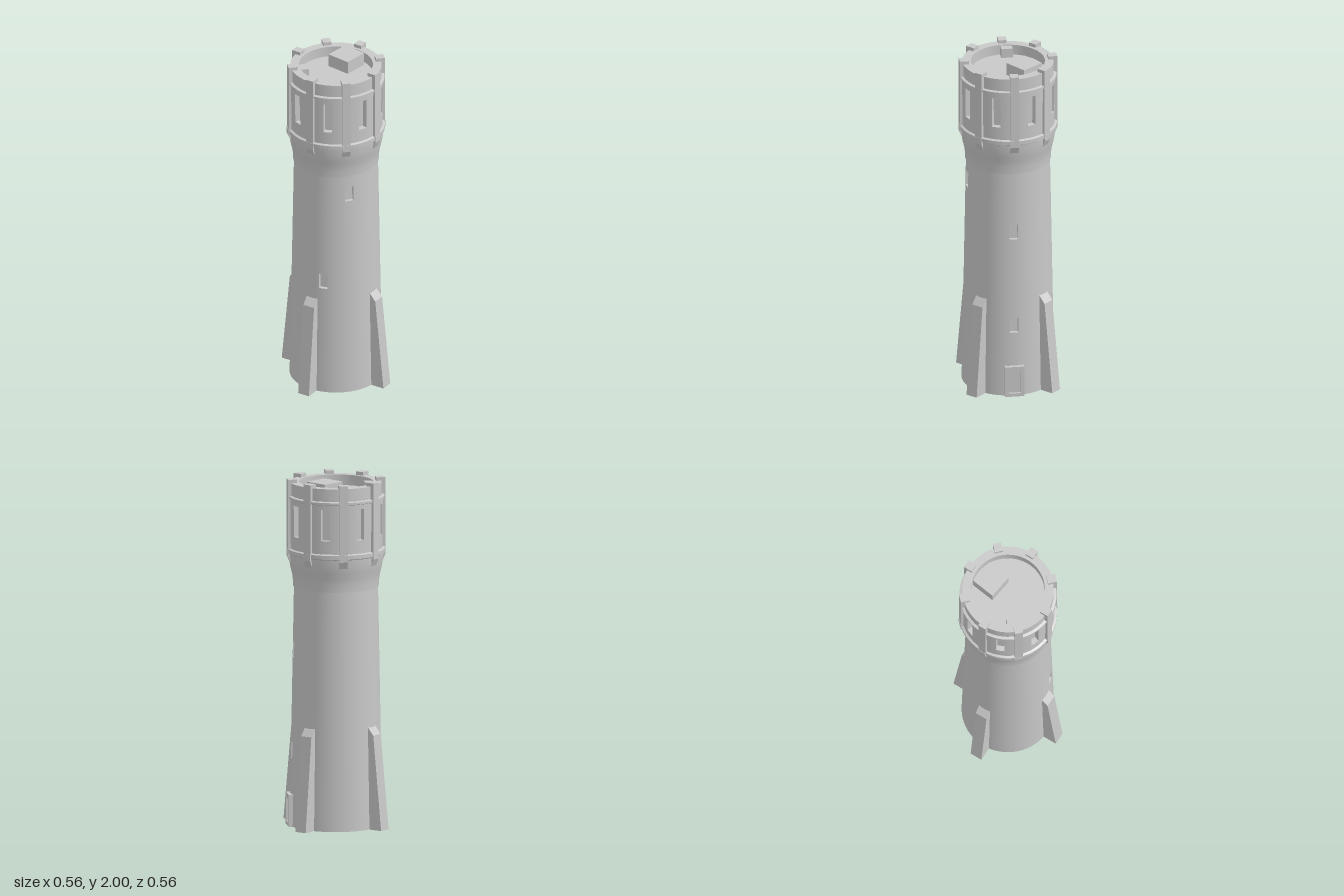
import * as THREE from 'three';
import { mergeGeometries, toCreasedNormals } from 'three/addons/utils/BufferGeometryUtils.js';

const stone = new THREE.MeshStandardMaterial({ color: 0xc8c8c8 });
stone.name = 'stone';

function add(parent, name, geometry) {
  const mesh = new THREE.Mesh(geometry, stone);
  mesh.name = name;
  parent.add(mesh);
  return mesh;
}

// Flat-shaded quads, corners counter-clockwise from the front
function quads(list) {
  const pos = [];
  for (const [a, b, c, d] of list) for (const p of [a, b, c, a, c, d]) pos.push(...p);
  const g = new THREE.BufferGeometry();
  g.setAttribute('position', new THREE.Float32BufferAttribute(pos, 3));
  g.computeVertexNormals();
  return g;
}

// Round tapering wall with recessed openings { angle, y0, y1, width }
function roundWall(y0, y1, r0, r1, openings, depth) {
  const radius = (y) => r0 + ((r1 - r0) * (y - y0)) / (y1 - y0);
  const point = (t, y, inset = 0) => {
    const r = radius(y) - inset;
    return [r * Math.sin(t), y, r * Math.cos(t)];
  };
  const holes = openings.map((o) => {
    const half = o.width / 2 / radius((o.y0 + o.y1) / 2);
    return { t0: o.angle - half, t1: o.angle + half, y0: o.y0, y1: o.y1 };
  });
  const start = -Math.PI, steps = 72;
  const ts = Array.from({ length: steps + 1 }, (_, i) => start + (i * 2 * Math.PI) / steps);
  const ys = [y0, y1];
  for (const h of holes) { ts.push(h.t0, h.t1); ys.push(h.y0, h.y1); }
  const tidy = (a) => a.sort((p, q) => p - q).filter((v, i) => i === 0 || v - a[i - 1] > 1e-5);
  const T = tidy(ts), Y = tidy(ys);
  const skin = [], reveals = [];
  for (let i = 0; i < T.length - 1; i++) for (let j = 0; j < Y.length - 1; j++) {
    const tm = (T[i] + T[i + 1]) / 2, ym = (Y[j] + Y[j + 1]) / 2;
    if (holes.some((h) => tm > h.t0 && tm < h.t1 && ym > h.y0 && ym < h.y1)) continue;
    skin.push([point(T[i], Y[j]), point(T[i + 1], Y[j]), point(T[i + 1], Y[j + 1]), point(T[i], Y[j + 1])]);
  }
  for (const h of holes) {
    const corners = [[h.t0, h.y0], [h.t1, h.y0], [h.t1, h.y1], [h.t0, h.y1]];
    const outer = corners.map(([t, y]) => point(t, y));
    const inner = corners.map(([t, y]) => point(t, y, depth));
    for (let k = 0; k < 4; k++) {
      const n = (k + 1) % 4;
      reveals.push([outer[k], outer[n], inner[n], inner[k]]);
    }
    reveals.push(inner);
  }
  // Exact radial normals keep the skin smooth
  const skinGeo = quads(skin);
  const p = skinGeo.attributes.position, n = skinGeo.attributes.normal;
  const slope = (r0 - r1) / (y1 - y0), v = new THREE.Vector3();
  for (let i = 0; i < p.count; i++) {
    const r = Math.hypot(p.getX(i), p.getZ(i));
    v.set(p.getX(i) / r, slope, p.getZ(i) / r).normalize();
    n.setXYZ(i, v.x, v.y, v.z);
  }
  return mergeGeometries([skinGeo, quads(reveals)]);
}

function turned(profile) {
  const g = new THREE.LatheGeometry(profile.map(([r, y]) => new THREE.Vector2(r, y)), 72);
  return toCreasedNormals(g, 0.6);
}

// Fin with a (radius, height) outline
function fin(profile, width) {
  const shape = new THREE.Shape(profile.map(([r, y]) => new THREE.Vector2(r, y)));
  const g = new THREE.ExtrudeGeometry(shape, { depth: width, bevelEnabled: false });
  return g.translate(0, 0, -width / 2);
}

export function createModel() {
  const tower = new THREE.Group();
  tower.name = 'tower';

  // Tapered shaft with small windows
  add(tower, 'shaft', roundWall(0, 1.385, 0.264, 0.239, [
    { angle: -0.51, y0: 0.66, y1: 0.75, width: 0.05 },
    { angle: 0.11, y0: 1.22, y1: 1.31, width: 0.05 },
    { angle: Math.PI / 2, y0: 0.39, y1: 0.48, width: 0.048 },
    { angle: Math.PI / 2, y0: 0.97, y1: 1.06, width: 0.048 },
  ], 0.02));
  add(tower, 'base', new THREE.CircleGeometry(0.264, 72).rotateX(Math.PI / 2));

  // Flared collar between shaft and drum
  add(tower, 'collar', turned([
    [0.23, 1.38], [0.244, 1.38], [0.246, 1.42], [0.251, 1.455], [0.26, 1.49], [0.267, 1.53],
    [0.27, 1.57], [0.278, 1.575], [0.278, 1.598], [0.262, 1.605],
  ]));

  // Drum with eight tall windows between the pilasters
  const drumWindows = [];
  for (let i = 0; i < 8; i++) {
    drumWindows.push({ angle: -Math.PI + ((i + 0.5) * Math.PI) / 4, y0: 1.68, y1: 1.86, width: 0.05 });
  }
  add(tower, 'drum', roundWall(1.6, 1.895, 0.265, 0.268, drumWindows, 0.03));

  // Moulding, parapet and sunken roof floor
  add(tower, 'parapet', turned([
    [0.265, 1.885], [0.276, 1.89], [0.276, 1.903], [0.26, 1.907], [0.26, 1.98],
    [0.21, 1.98], [0.21, 1.92], [0, 1.92],
  ]));

  // Pilasters running from bracket to merlon
  const pilaster = fin([
    [0.228, 1.5], [0.256, 1.5], [0.282, 1.56], [0.282, 1.6], [0.28, 1.6], [0.28, 2], [0.228, 2],
  ], 0.048);
  for (let i = 0; i < 8; i++) add(tower, 'pilaster', pilaster).rotation.y = (i * Math.PI) / 4;

  // Corner buttresses
  const buttress = fin([[0.2, 0], [0.343, 0], [0.288, 0.545], [0.25, 0.59], [0.2, 0.59]], 0.072);
  for (let i = 0; i < 4; i++) add(tower, 'buttress', buttress).rotation.y = ((i + 0.5) * Math.PI) / 2;

  // Door with raised frame on the left side
  const frame = new THREE.Shape([[-0.055, 0], [0.055, 0], [0.055, 0.185], [-0.055, 0.185]]
    .map(([x, y]) => new THREE.Vector2(x, y)));
  frame.holes.push(new THREE.Path([[-0.035, 0.02], [-0.035, 0.155], [0.035, 0.155], [0.035, 0.02]]
    .map(([x, y]) => new THREE.Vector2(x, y))));
  const frameGeo = new THREE.ExtrudeGeometry(frame, { depth: 0.04, bevelEnabled: false });
  add(tower, 'doorFrame', frameGeo.translate(0, 0, 0.241).rotateY(Math.PI / 2));
  add(tower, 'door', new THREE.BoxGeometry(0.03, 0.145, 0.08)).position.set(0.253, 0.0875, 0);

  // Boxes on the roof
  const hut = add(tower, 'roofHut', new THREE.BoxGeometry(0.144, 0.08, 0.144));
  hut.position.set(0.078, 1.955, -0.082);
  hut.rotation.y = 0.65;
  add(tower, 'roofCrate', new THREE.BoxGeometry(0.05, 0.06, 0.066)).position.set(-0.187, 1.945, -0.017);

  return tower;
}
